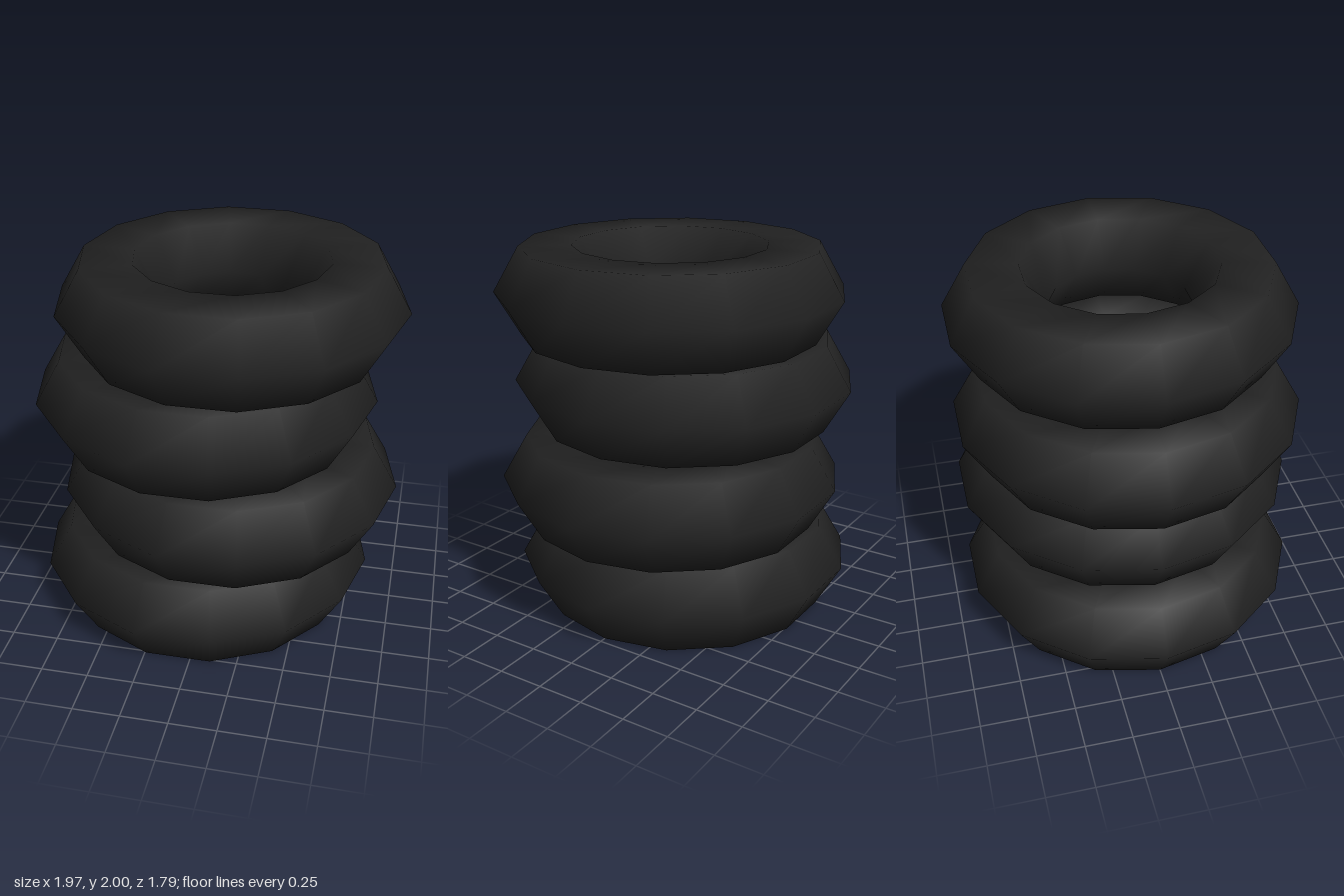
import * as THREE from 'three';

const TUBE = 0.271;                     // tyre tube radius (hexagonal section)
const RING = 0.646;                     // tyre centre-line radius
const HALF = TUBE * Math.sin(Math.PI / 3);
const OFFSET = 0.068;                   // sideways stagger
const COUNT = 4;

export function createModel() {
  const group = new THREE.Group();
  group.name = 'tyreStack';

  const rubber = new THREE.MeshStandardMaterial({ color: 0x222222 });
  rubber.name = 'black rubber';

  // One low-poly tyre lying flat, reused for the whole stack
  const tyre = new THREE.TorusGeometry(RING, TUBE, 6, 14);
  tyre.rotateX(-Math.PI / 2);

  // Stack alternates to the right and left
  const step = (2 - 2 * HALF) / (COUNT - 1);
  for (let i = 0; i < COUNT; i++) {
    const mesh = new THREE.Mesh(tyre, rubber);
    mesh.name = `tyre${i + 1}`;
    mesh.position.set(i % 2 ? OFFSET : -OFFSET, HALF + i * step, 0);
    group.add(mesh);
  }
  return group;
}
